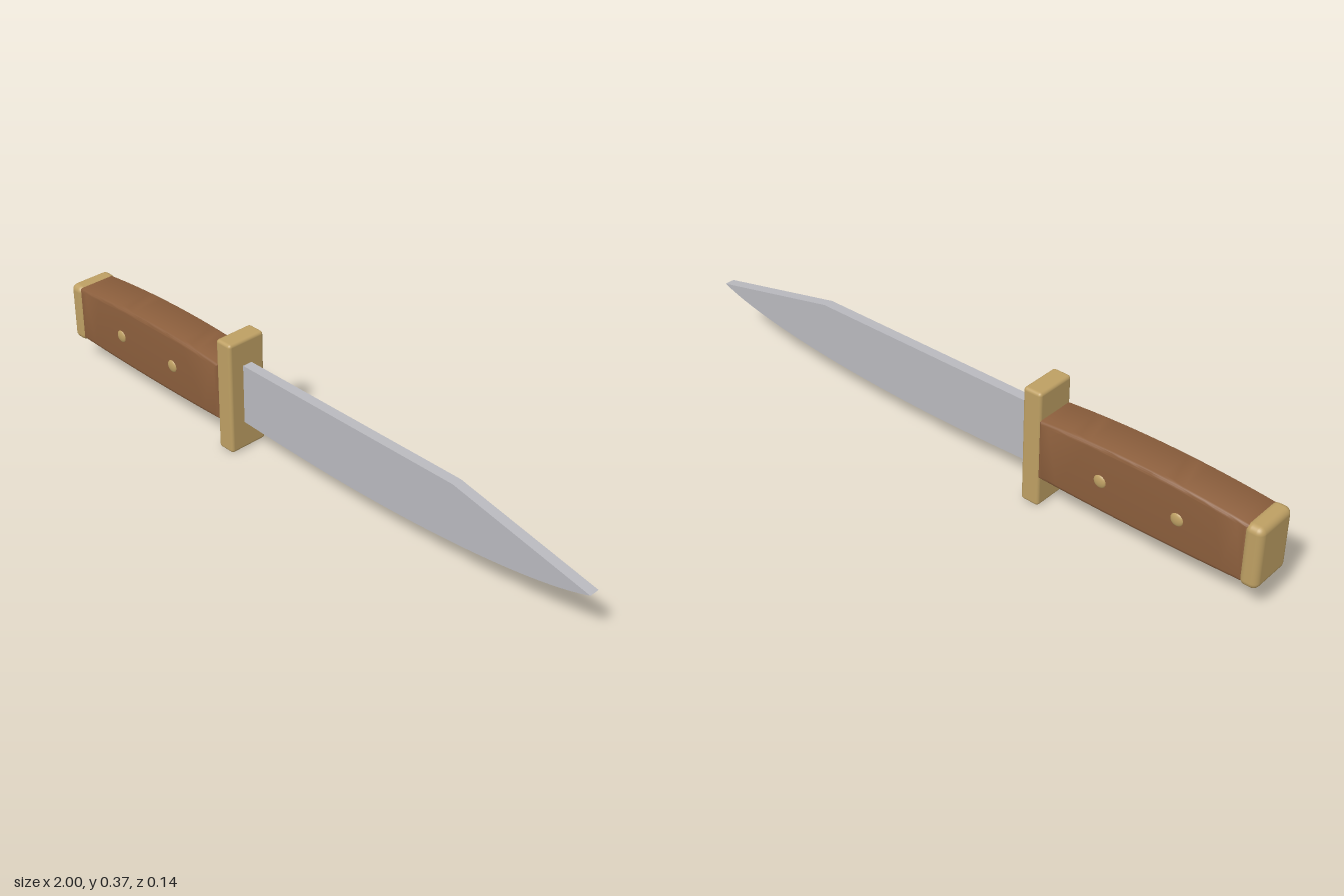
import * as THREE from 'three';
import { toCreasedNormals } from 'three/addons/utils/BufferGeometryUtils.js';
import { RoundedBoxGeometry } from 'three/addons/geometries/RoundedBoxGeometry.js';

const steel = new THREE.MeshStandardMaterial({ name: 'steel', color: 0xb9b9be });
const brass = new THREE.MeshStandardMaterial({ name: 'brass', color: 0xbd9f63 });
const wood = new THREE.MeshStandardMaterial({ name: 'wood', color: 0x8b5e3c });

const MID_Y = 0.187;

// Extrudes a side outline to a given total thickness, centred on z = 0
function slab(shape, thickness, bevel, curveSegments) {
  const geometry = new THREE.ExtrudeGeometry(shape, {
    depth: thickness - 2 * bevel,
    bevelEnabled: bevel > 0,
    bevelThickness: bevel,
    bevelSize: bevel,
    bevelOffset: -bevel,
    bevelSegments: 4,
    curveSegments,
  });
  geometry.translate(0, 0, bevel - thickness / 2);
  return toCreasedNormals(geometry, 0.6);
}

export function createModel() {
  const model = new THREE.Group();
  model.name = 'knife';

  const add = (name, geometry, material, x = 0, y = 0, z = 0) => {
    const mesh = new THREE.Mesh(geometry, material);
    mesh.name = name;
    mesh.position.set(x, y, z);
    model.add(mesh);
    return mesh;
  };

  // Blade: straight spine, clipped point and curved belly
  const bladeShape = new THREE.Shape();
  bladeShape.moveTo(-0.27, 0.092);
  bladeShape.quadraticCurveTo(-0.06, 0.083, 0.12, 0.083);
  bladeShape.bezierCurveTo(0.46, 0.084, 0.83, 0.118, 1, MID_Y);
  bladeShape.lineTo(0.55, 0.283);
  bladeShape.lineTo(-0.27, 0.283);
  bladeShape.closePath();
  add('blade', slab(bladeShape, 0.032, 0, 20), steel);

  // Grip: arched back, nearly straight underside, softened edges
  const gripShape = new THREE.Shape();
  gripShape.moveTo(-0.96, 0.094);
  gripShape.quadraticCurveTo(-0.63, 0.082, -0.305, 0.094);
  gripShape.lineTo(-0.305, 0.282);
  gripShape.quadraticCurveTo(-0.63, 0.31, -0.96, 0.273);
  gripShape.closePath();
  add('grip', slab(gripShape, 0.132, 0.013, 20), wood);

  // Guard and pommel
  add('guard', new RoundedBoxGeometry(0.06, 0.366, 0.13, 4, 0.01), brass, -0.28, 0.183, 0);
  add('pommel', new RoundedBoxGeometry(0.055, 0.19, 0.14, 4, 0.02), brass, -0.9725, 0.182, 0);

  // Domed rivets on both sides of the grip
  for (const x of [-0.755, -0.513]) {
    for (const side of [1, -1]) {
      const rivet = add('rivet', new THREE.SphereGeometry(0.02, 20, 12), brass, x, MID_Y, side * 0.064);
      rivet.scale.z = 0.4;
    }
  }

  return model;
}
